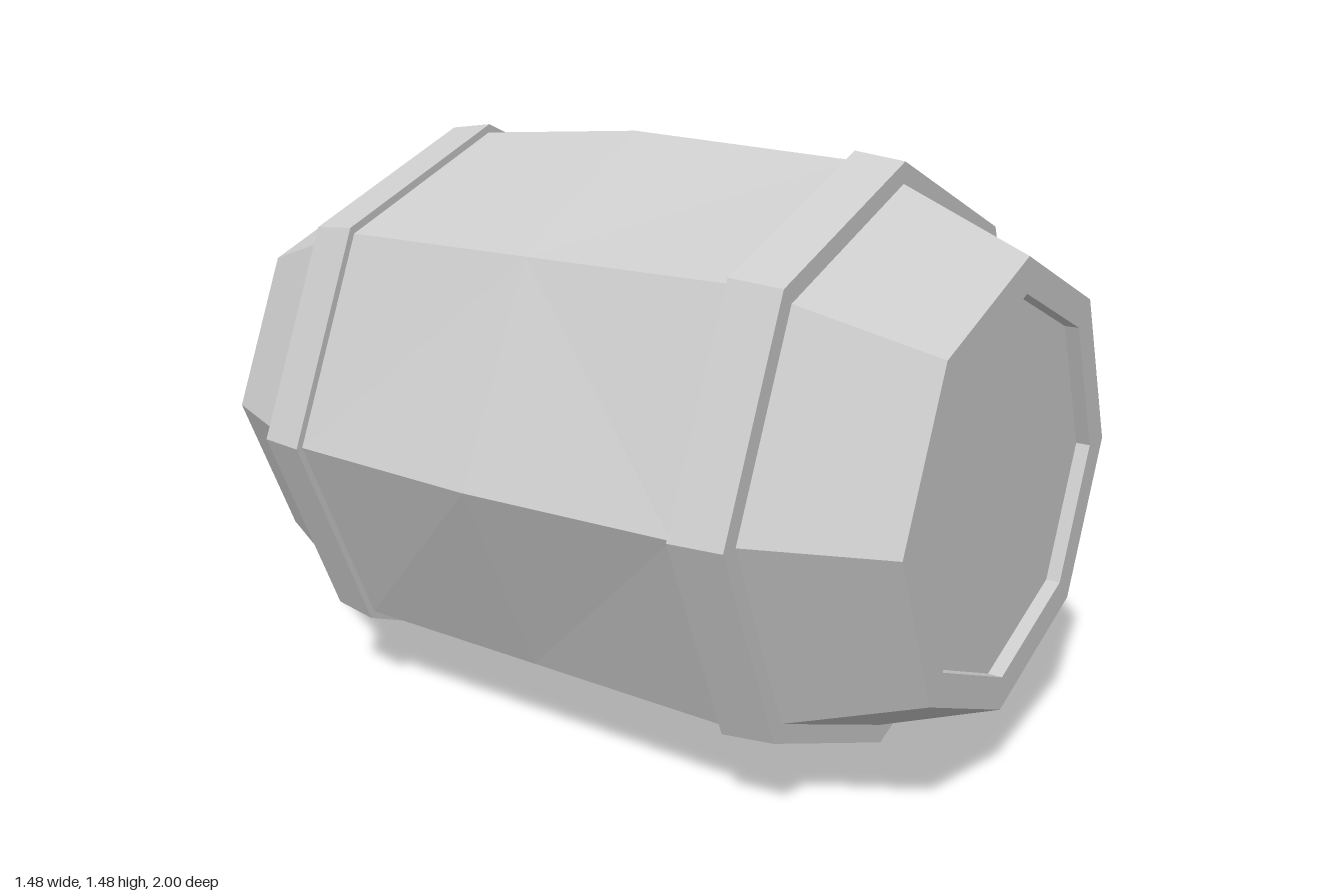
import * as THREE from 'three';

const CENTER_Y = 0.737;
const SIDES = 8;
const material = new THREE.MeshStandardMaterial({ color: 0xcccccc, flatShading: true });

// Octagonal surface around the z axis from [radius, z] pairs, corner pointing up
function ringGeometry(profile) {
  const points = profile.map(([r, z]) => new THREE.Vector2(r, z));
  const geometry = new THREE.LatheGeometry(points, SIDES).rotateX(Math.PI / 2).toNonIndexed();
  geometry.computeVertexNormals();
  return geometry;
}

// Middle staves: three octagonal rings, the centre one slightly dented and bulged
function staveGeometry() {
  const bulge = { 2: [0.02, 0.03, -0.08], 4: [-0.026, 0, 0], 7: [0, 0.008, 0] };
  const rings = [0.56, 0, -0.56].map((z, i) =>
    Array.from({ length: SIDES }, (_, k) => {
      const a = (k / SIDES) * Math.PI * 2;
      const p = new THREE.Vector3(Math.cos(a) * 0.714, Math.sin(a) * 0.714, z);
      if (i === 1 && bulge[k]) p.add(new THREE.Vector3(...bulge[k]));
      return p;
    }));
  // Faces whose diagonal runs the other way, for the front and back halves
  const flipped = [[1, 3], [1, 2]];
  const corners = [];
  for (let i = 0; i < 2; i++) {
    for (let k = 0; k < SIDES; k++) {
      const n = (k + 1) % SIDES;
      const f0 = rings[i][k], f1 = rings[i][n];
      const b0 = rings[i + 1][k], b1 = rings[i + 1][n];
      if (flipped[i].includes(k)) corners.push(f0, b0, f1, b0, b1, f1);
      else corners.push(f0, b0, b1, f0, b1, f1);
    }
  }
  const geometry = new THREE.BufferGeometry().setFromPoints(corners);
  geometry.computeVertexNormals();
  return geometry;
}

export function createModel() {
  const group = new THREE.Group();
  group.name = 'barrel';

  function add(name, geometry, x = 0, turn = 0) {
    const mesh = new THREE.Mesh(geometry, material);
    mesh.name = name;
    mesh.position.set(x, CENTER_Y, 0);
    mesh.rotation.y = turn;
    group.add(mesh);
  }

  add('middleStaves', staveGeometry());

  // Tapered end with a raised rim around the recessed lid
  const end = ringGeometry([[0.67, 0.69], [0.538, 1], [0.455, 1], [0.455, 0.965], [0, 0.965]]);
  // Flared hoop between the middle and the end
  const hoop = ringGeometry([[0.7, 0.56], [0.736, 0.56], [0.72, 0.69], [0.66, 0.69]]);

  for (const [side, turn] of [['front', 0], ['back', Math.PI]]) {
    add(side + 'End', end, 0, turn);
    add(side + 'Hoop', hoop, 0.004, turn);
  }
  return group;
}
